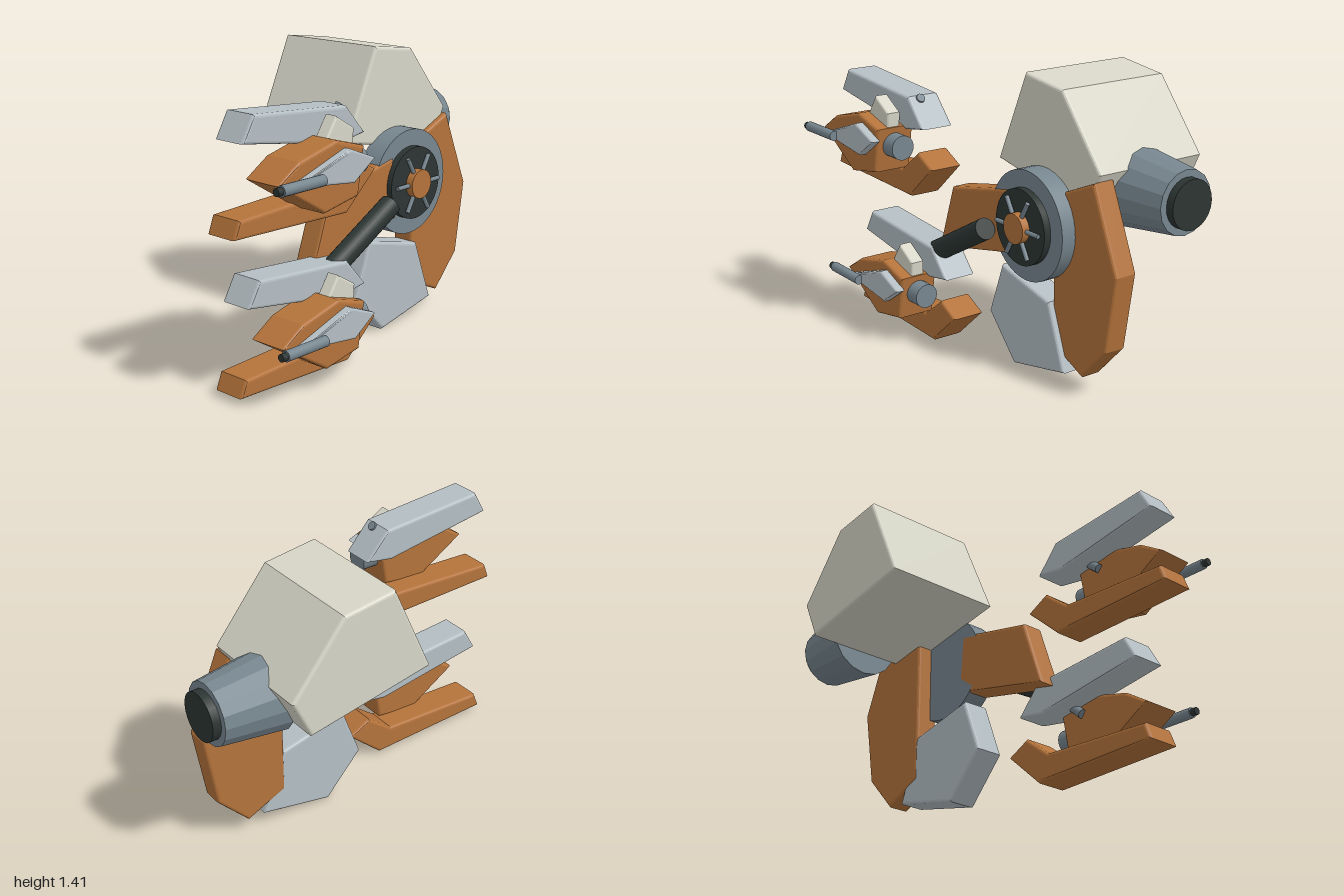
import * as THREE from 'three';

const mat = (name, color) => {
  const m = new THREE.MeshStandardMaterial({ color });
  m.name = name;
  return m;
};

export function createModel() {
  const orange = mat('burnt orange', 0xb4733b);
  const cream = mat('cream', 0xd7d6c8);
  const grey = mat('light grey', 0xb4bec3);
  const slate = mat('slate', 0x77868f);
  const dark = mat('charcoal', 0x2c3533);

  const model = new THREE.Group();
  model.name = 'model';

  const add = (parent, name, geometry, material) => {
    const mesh = new THREE.Mesh(geometry, material);
    mesh.name = name;
    parent.add(mesh);
    return mesh;
  };

  // Bevelled plate: an xy outline extruded from z0 to z1
  const plate = (parent, name, material, points, z0, z1, bevel = 0.015) => {
    const shape = new THREE.Shape(points.map(([x, y]) => new THREE.Vector2(x, y)));
    const geo = new THREE.ExtrudeGeometry(shape, {
      depth: z1 - z0 - 2 * bevel, bevelEnabled: true, bevelThickness: bevel,
      bevelSize: bevel, bevelOffset: -bevel, bevelSegments: 3,
    });
    geo.translate(0, 0, z0 + bevel);
    return add(parent, name, geo, material);
  };

  // Round rod from a to b, radius r0 at a and r1 at b
  const rod = (parent, name, material, a, b, r0, r1 = r0, sides = 24) => {
    const from = new THREE.Vector3(...a), to = new THREE.Vector3(...b);
    const dir = to.clone().sub(from);
    const mesh = add(parent, name, new THREE.CylinderGeometry(r1, r0, dir.length(), sides), material);
    mesh.position.copy(from).add(to).multiplyScalar(0.5);
    mesh.quaternion.setFromUnitVectors(new THREE.Vector3(0, 1, 0), dir.normalize());
    return mesh;
  };

  // Main armour block and the two lower fins
  plate(model, 'upperBlock', cream,
    [[0, 0.97], [0.2, 1.413], [0.465, 1.378], [0.733, 1.05], [0.64, 0.855]], -0.56, 0.042);
  plate(model, 'sideFin', orange,
    [[0.45, 0.9], [0.72, 1.018], [0.88, 0.63], [0.82, 0.26], [0.66, 0.087], [0.45, 0.18]], -0.048, 0.07);
  plate(model, 'lowerFin', grey,
    [[0.1, 0.477], [0.455, 0.395], [0.57, 0.08], [0.195, 0], [0, 0.21]], -0.045, 0.1);

  // Thruster
  const cone = slate;
  const nozzle = rod(model, 'thrusterCone', cone,
    [0.64, 0.933, -0.248], [0.96, 0.933, -0.248], 0.19, 0.15, 16);
  nozzle.geometry = nozzle.geometry.toNonIndexed();
  nozzle.geometry.computeVertexNormals();
  rod(model, 'thrusterNozzle', dark, [0.94, 0.933, -0.248], [1, 0.933, -0.248], 0.116);

  // Pivot wheel with hub and spokes
  const cx = 0.343, cy = 0.742;
  rod(model, 'pivotDisc', slate, [cx, cy, 0.03], [cx, cy, 0.143], 0.262, 0.262, 40);
  rod(model, 'pivotPlate', dark, [cx, cy, 0.13], [cx, cy, 0.178], 0.18, 0.18, 40);
  rod(model, 'pivotHub', orange, [cx, cy, 0.16], [cx, cy, 0.217], 0.072);
  for (let i = 0; i < 6; i++) {
    const a = (i * Math.PI) / 3;
    const c = Math.cos(a), s = Math.sin(a);
    rod(model, 'spoke', slate, [cx + 0.05 * c, cy + 0.05 * s, 0.194],
      [cx + 0.155 * c, cy + 0.155 * s, 0.194], 0.011, 0.011, 10);
  }

  // Arm and piston
  plate(model, 'arm', orange, [[-0.235, 0.79], [0.21, 0.885], [0.235, 0.58], [-0.35, 0.452]], 0.03, 0.149);
  rod(model, 'piston', dark, [-0.32, 0.44, 0.208], [0.12, 0.682, 0.208], 0.053);

  // Gun pods: the same pod twice
  const makePod = (name) => {
    const pod = new THREE.Group();
    pod.name = name;
    plate(pod, 'upperBlade', grey,
      [[-0.945, 1.17], [-0.88, 1.285], [-0.325, 1.243], [-0.203, 1.105], [-0.35, 1.08]], 0.165, 0.335);
    plate(pod, 'lowerBlade', orange,
      [[-1, 0.775], [-0.97, 0.855], [-0.39, 0.88], [-0.25, 0.987], [-0.13, 0.925], [-0.32, 0.755]], 0.165, 0.335);
    plate(pod, 'podBody', orange,
      [[-0.89, 1.01], [-0.765, 1.09], [-0.54, 1.145], [-0.368, 1.095], [-0.405, 0.878], [-0.615, 0.84]], 0.28, 0.48);
    plate(pod, 'sight', cream,
      [[-0.54, 1.145], [-0.48, 1.232], [-0.37, 1.165], [-0.375, 1.08], [-0.53, 1.09]], 0.35, 0.42, 0.01);
    plate(pod, 'sideVane', grey,
      [[-0.81, 1.005], [-0.5, 1.108], [-0.345, 1.045], [-0.475, 0.955], [-0.68, 0.98]], 0.475, 0.523, 0.012);
    rod(pod, 'rearCap', slate, [-0.5, 1.007, 0.383], [-0.3, 1.007, 0.383], 0.06);
    rod(pod, 'bladePin', slate, [-0.51, 1.06, 0.272], [-0.305, 1.235, 0.272], 0.022, 0.022, 12);
    rod(pod, 'barrel', slate, [-0.93, 1.01, 0.535], [-0.685, 1.01, 0.535], 0.025, 0.025, 16);
    rod(pod, 'muzzle', dark, [-0.958, 1.01, 0.535], [-0.92, 1.01, 0.535], 0.018, 0.018, 12);
    model.add(pod);
    return pod;
  };
  makePod('upperPod');
  makePod('lowerPod').position.set(0.08, -0.743, -0.065);

  return model;
}
